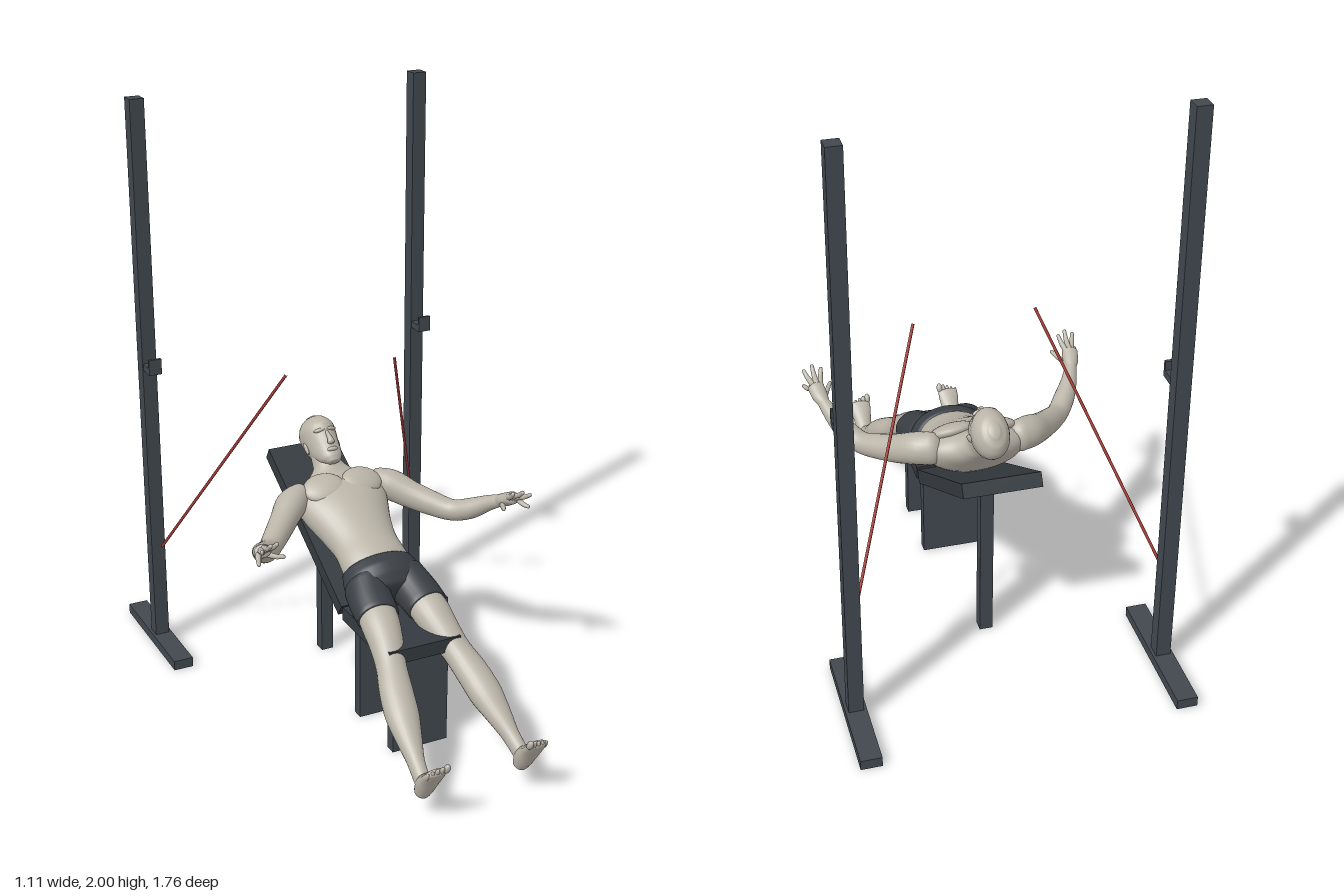
import * as THREE from 'three';

const material = (name, color) => {
  const m = new THREE.MeshStandardMaterial({ color });
  m.name = name;
  return m;
};

export function createModel() {
  const model = new THREE.Group();
  model.name = 'inclineBenchExercise';
  const frame = material('frame grey', 0x41484e);
  const pad = material('pad grey', 0x343a3f);
  const cloth = material('shorts grey', 0x3a3f45);
  const skin = material('skin', 0xbab4a8);
  const red = material('band red', 0xa33a34);

  const add = (parent, name, geo, mat, pos = [0, 0, 0], rot = [0, 0, 0]) => {
    const mesh = new THREE.Mesh(geo, mat);
    mesh.name = name;
    mesh.position.set(...pos);
    mesh.rotation.set(...rot);
    parent.add(mesh);
    return mesh;
  };
  const box = (parent, name, mat, size, pos, rot) =>
    add(parent, name, new THREE.BoxGeometry(...size), mat, pos, rot);
  const ball = (parent, name, mat, radii, pos, rot) => {
    const geo = new THREE.SphereGeometry(1, 20, 14).scale(...radii);
    return add(parent, name, geo, mat, pos, rot);
  };

  // Smooth elliptical loft; each ring is [x, y, z, halfWidth, halfDepth]
  const loft = (parent, name, mat, rings, { cap = 0.8, dir = null, seg = 24, sub = 4 } = {}) => {
    const V = (a) => new THREE.Vector3(...a);
    const path = new THREE.CatmullRomCurve3(rings.map((r) => V(r.slice(0, 3))));
    const radii = new THREE.CatmullRomCurve3(rings.map((r) => V([r[3], r[4], 0])));
    const n = (rings.length - 1) * sub;
    const sections = [];
    const section = (t, offset, k) => {
      const r = radii.getPoint(t);
      const tan = dir ? V(dir) : path.getTangent(t);
      const p = path.getPoint(t).addScaledVector(tan, offset * cap * Math.min(r.x, r.y));
      sections.push({ p, tan, w: r.x * k, d: r.y * k });
    };
    for (let i = 4; i > 0; i--) section(0, -Math.sin(i * Math.PI / 8), Math.cos(i * Math.PI / 8));
    for (let i = 0; i <= n; i++) section(i / n, 0, 1);
    for (let i = 1; i <= 4; i++) section(1, Math.sin(i * Math.PI / 8), Math.cos(i * Math.PI / 8));
    const pos = [], idx = [];
    sections.forEach(({ p, tan, w, d }, i) => {
      const side = new THREE.Vector3(1, 0, 0).addScaledVector(tan, -tan.x).normalize();
      const depth = side.clone().cross(tan);
      for (let j = 0; j < seg; j++) {
        const a = j / seg * Math.PI * 2;
        const q = p.clone().addScaledVector(side, Math.cos(a) * w).addScaledVector(depth, Math.sin(a) * d);
        pos.push(q.x, q.y, q.z);
        if (i === 0) continue;
        const j2 = (j + 1) % seg, lo = (i - 1) * seg, hi = i * seg;
        idx.push(lo + j, hi + j, lo + j2, lo + j2, hi + j, hi + j2);
      }
    });
    const geo = new THREE.BufferGeometry();
    geo.setAttribute('position', new THREE.Float32BufferAttribute(pos, 3));
    geo.setIndex(idx);
    geo.computeVertexNormals();
    return add(parent, name, geo, mat);
  };

  // Bench
  const bench = new THREE.Group();
  bench.name = 'bench';
  model.add(bench);
  box(bench, 'seat', pad, [0.26, 0.048, 0.345], [0, 0.369, 0.273]);
  box(bench, 'backrest', pad, [0.26, 0.048, 0.687], [0, 0.543, -0.218], [0.529, 0, 0]);
  box(bench, 'frontLegPanel', frame, [0.2, 0.345, 0.04], [0, 0.1725, 0.395]);
  box(bench, 'rearLegPanel', frame, [0.2, 0.345, 0.04], [0, 0.1725, 0.152]);
  box(bench, 'backrestPost', frame, [0.045, 0.585, 0.042], [0, 0.2925, -0.322]);

  // Uprights with feet, hooks and elastic bands
  for (const s of [1, -1]) {
    const stand = new THREE.Group();
    stand.name = s > 0 ? 'leftStand' : 'rightStand';
    model.add(stand);
    box(stand, 'upright', frame, [0.05, 1.97, 0.05], [s * 0.52, 1.015, -0.64]);
    box(stand, 'standFoot', frame, [0.07, 0.035, 0.485], [s * 0.52, 0.0175, -0.643]);
    box(stand, 'hookArm', frame, [0.045, 0.024, 0.062], [s * 0.52, 1.077, -0.586]);
    box(stand, 'hookLip', frame, [0.045, 0.055, 0.011], [s * 0.52, 1.0925, -0.56]);
    const band = new THREE.LineCurve3(
      new THREE.Vector3(s * 0.505, 0.385, -0.617), new THREE.Vector3(s * 0.2, 1.14, -0.175));
    add(stand, 'band', new THREE.TubeGeometry(band, 1, 0.005, 8), red);
  }

  // Torso and neck
  const figure = new THREE.Group();
  figure.name = 'figure';
  model.add(figure);
  loft(figure, 'torso', skin, [
    [0, 0.49, 0.13, 0.12, 0.08], [0, 0.522, 0.08, 0.119, 0.08], [0, 0.55, 0.02, 0.115, 0.078],
    [0, 0.585, -0.06, 0.13, 0.085], [0, 0.625, -0.14, 0.158, 0.09], [0, 0.657, -0.195, 0.17, 0.082],
    [0, 0.685, -0.237, 0.14, 0.06], [0, 0.708, -0.262, 0.085, 0.052],
    [0, 0.735, -0.287, 0.052, 0.05], [0, 0.775, -0.32, 0.048, 0.05]], { cap: 0.3, seg: 36 });

  // Head, modelled upright and then tipped back
  const head = new THREE.Group();
  head.name = 'head';
  head.position.set(0, 0.805, -0.35);
  head.rotation.x = -0.8;
  figure.add(head);
  loft(head, 'skull', skin, [
    [0, -0.108, 0.055, 0.024, 0.02], [0, -0.09, 0.038, 0.04, 0.043], [0, -0.06, 0.018, 0.05, 0.062],
    [0, -0.03, 0.002, 0.055, 0.079], [0, 0, -0.003, 0.059, 0.083], [0, 0.03, -0.005, 0.061, 0.085],
    [0, 0.055, -0.008, 0.054, 0.075], [0, 0.075, -0.01, 0.04, 0.055], [0, 0.086, -0.01, 0.022, 0.03]],
  { dir: [0, 1, 0], cap: 0.3 });
  loft(head, 'nose', skin, [[0, -0.045, 0.086, 0.013, 0.012], [0, -0.03, 0.085, 0.009, 0.01],
    [0, -0.003, 0.076, 0.006, 0.006]], { seg: 12 });
  ball(head, 'lips', skin, [0.02, 0.008, 0.008], [0, -0.07, 0.078]);
  for (const s of [1, -1]) {
    ball(head, 'ear', skin, [0.007, 0.024, 0.014], [s * 0.058, -0.022, -0.004], [-0.15, s * 0.35, 0]);
    ball(head, 'brow', skin, [0.02, 0.007, 0.008], [s * 0.023, 0.008, 0.072], [0, s * 0.35, 0]);
  }

  // Shorts
  loft(figure, 'shortsHips', cloth, [
    [0, 0.512, 0.1, 0.128, 0.087], [0, 0.49, 0.135, 0.138, 0.1],
    [0, 0.472, 0.17, 0.142, 0.092], [0, 0.457, 0.2, 0.125, 0.072]], { cap: 0.2, seg: 36 });

  // Limbs, once per side
  for (const s of [1, -1]) {
    const limb = (name, mat, rings, opts) =>
      loft(figure, name, mat, rings.map(([x, ...r]) => [s * x, ...r]), opts);
    ball(figure, 'pectoral', skin, [0.075, 0.025, 0.058], [s * 0.072, 0.711, -0.165], [0.52, 0, s * -0.12]);

    limb('shortsLeg', cloth, [[0.072, 0.478, 0.16, 0.073, 0.082], [0.084, 0.457, 0.225, 0.074, 0.07],
      [0.09, 0.437, 0.285, 0.073, 0.062]], { cap: 0.08 });
    limb('leg', skin, [
      [0.083, 0.455, 0.23, 0.064, 0.058], [0.092, 0.427, 0.3, 0.065, 0.058],
      [0.103, 0.383, 0.37, 0.057, 0.053], [0.12, 0.335, 0.44, 0.05, 0.046],
      [0.137, 0.292, 0.505, 0.055, 0.047], [0.149, 0.25, 0.565, 0.056, 0.048],
      [0.161, 0.2, 0.64, 0.043, 0.038], [0.17, 0.155, 0.705, 0.028, 0.03],
      [0.175, 0.125, 0.75, 0.025, 0.029], [0.177, 0.105, 0.775, 0.024, 0.025]]);
    limb('foot', skin, [
      [0.176, 0.088, 0.763, 0.027, 0.027], [0.176, 0.115, 0.778, 0.03, 0.032],
      [0.177, 0.15, 0.808, 0.033, 0.026], [0.177, 0.182, 0.835, 0.038, 0.018],
      [0.176, 0.2, 0.849, 0.037, 0.013]]);
    for (let i = 0; i < 5; i++) {
      const r = i === 0 ? 0.011 : 0.0085 - i * 0.0004;
      ball(figure, 'toe', skin, [r, 0.019, r],
        [s * (0.146 + i * 0.0155), 0.212 - i * 0.005, 0.859 - i * 0.003], [0.5, 0, 0]);
    }

    limb('arm', skin, [
      [0.15, 0.675, -0.2, 0.045, 0.055], [0.19, 0.667, -0.175, 0.053, 0.055],
      [0.24, 0.642, -0.125, 0.047, 0.049], [0.295, 0.62, -0.065, 0.042, 0.043],
      [0.345, 0.608, -0.008, 0.037, 0.037], [0.385, 0.628, 0.045, 0.036, 0.036],
      [0.418, 0.66, 0.095, 0.028, 0.028], [0.441, 0.688, 0.145, 0.02, 0.021]]);
    limb('palm', skin, [[0.439, 0.686, 0.14, 0.019, 0.02], [0.448, 0.7, 0.17, 0.027, 0.023],
      [0.455, 0.717, 0.202, 0.028, 0.022]], { cap: 0.6 });
    // Knuckle and fingertip of each finger, thumb last
    const fingers = [
      [[0.438, 0.728, 0.212], [0.427, 0.757, 0.252]],
      [[0.452, 0.732, 0.218], [0.455, 0.763, 0.267]],
      [[0.466, 0.725, 0.218], [0.484, 0.748, 0.266]],
      [[0.473, 0.71, 0.208], [0.489, 0.698, 0.25]],
      [[0.432, 0.692, 0.18], [0.4, 0.702, 0.24]]];
    for (const [k, t] of fingers) {
      const mid = k.map((v, i) => (v + t[i]) / 2 + (i === 1 ? -0.004 : 0));
      limb('finger', skin, [[0.45, 0.708, 0.185, 0.01, 0.01], [...k, 0.01, 0.01],
        [...mid, 0.0085, 0.0085], [...t, 0.0065, 0.0065]], { seg: 10, sub: 3 });
    }
  }
  return model;
}
